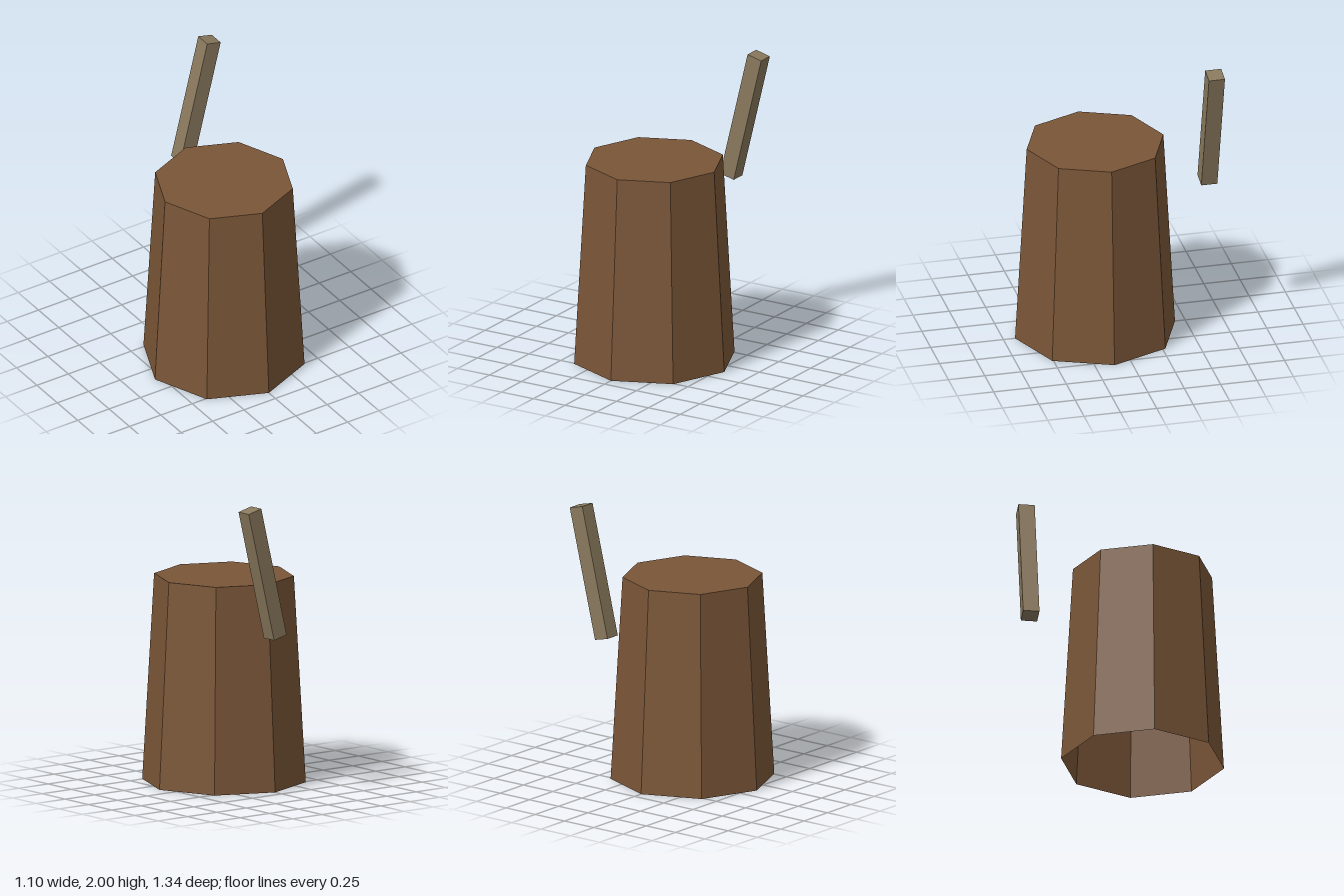
import * as THREE from 'three';

export function createModel() {
  const group = new THREE.Group();
  const wood = new THREE.MeshStandardMaterial({ color: 0x7a5638, flatShading: true, side: THREE.DoubleSide });
  wood.name = 'brown wood';
  const paleWood = new THREE.MeshStandardMaterial({ color: 0x8a795d, flatShading: true });
  paleWood.name = 'pale wood';

  // Tapered eight-sided block: closed on top, open and hollow underneath
  const profile = [[0.55, 0], [0.47, 1.4], [0, 1.4]].map(([r, y]) => new THREE.Vector2(r, y));
  const stump = new THREE.Mesh(new THREE.LatheGeometry(profile, 8), wood);
  stump.name = 'stump';
  stump.position.z = 0.12;
  group.add(stump);

  // Square handle behind the block, leaning to the model's left
  const handle = new THREE.Mesh(new THREE.BoxGeometry(0.11, 0.908, 0.11), paleWood);
  handle.name = 'handle';
  handle.position.set(0.255, 1.546, -0.617);
  handle.rotation.z = -0.24;
  group.add(handle);

  return group;
}
